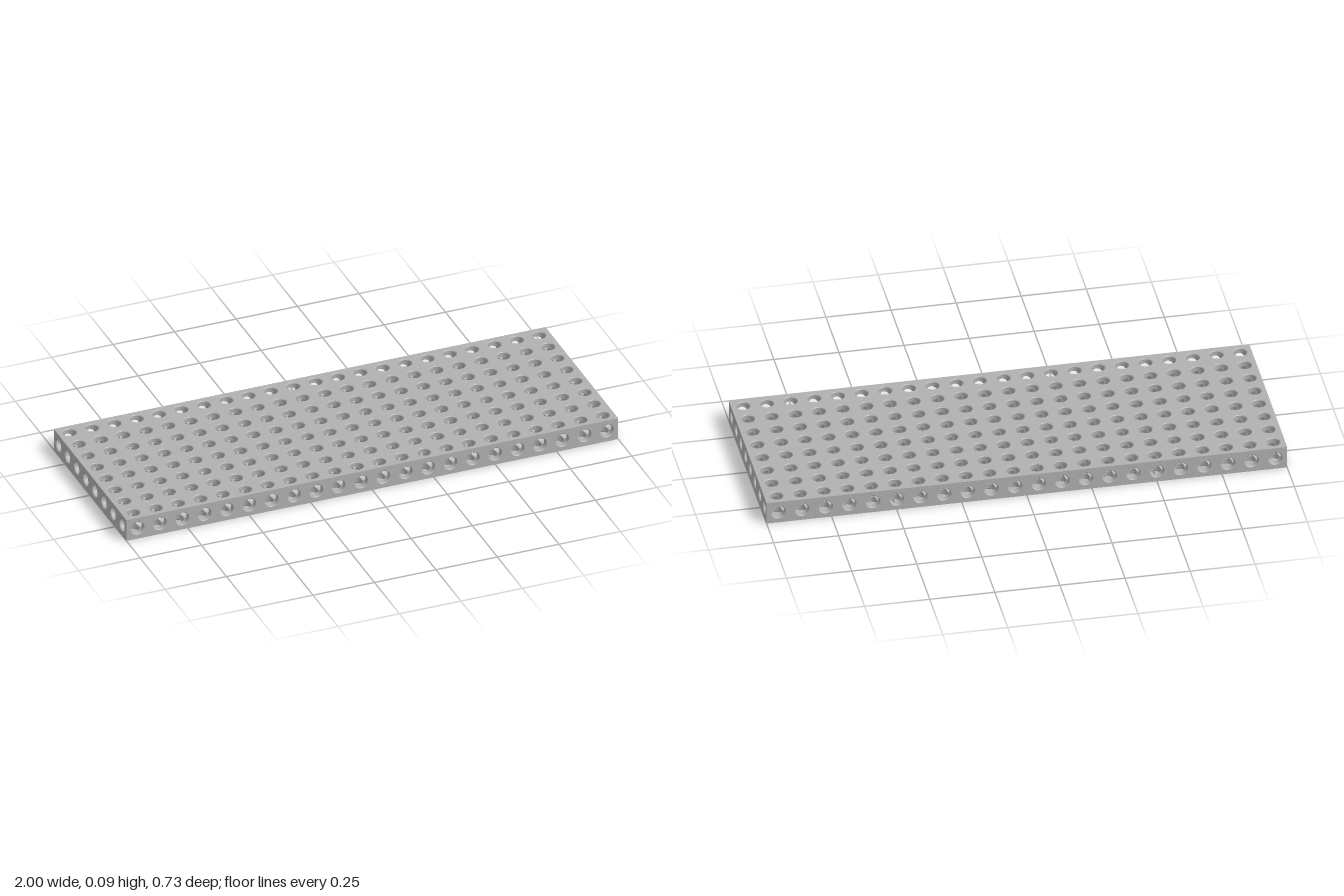
import * as THREE from 'three';
import { mergeGeometries } from 'three/addons/utils/BufferGeometryUtils.js';

const NX = 22, NZ = 8;          // cells along x and z
const U = 2 / NX, H = U / 2;    // cell size and half size
const R = 0.0255;               // bore radius
const MOUTH = 0.0283;           // radius at the chamfered mouth
const CH = MOUTH - R;           // chamfer depth
const SIDES = 32;

const UP = new THREE.Vector3(0, 1, 0);
const DIRS = [[1, 0, 0], [-1, 0, 0], [0, 1, 0], [0, -1, 0], [0, 0, 1], [0, 0, -1]]
  .map((d) => new THREE.Vector3(...d));

// Half a bore, facing inwards, from the outer end to where the three crossing bores meet
function boreArm(outer) {
  const g = new THREE.LatheGeometry([new THREE.Vector2(R, outer), new THREE.Vector2(R, 0)], SIDES);
  const p = g.attributes.position;
  for (let i = 0; i < p.count; i++) {
    if (p.getY(i) === 0) p.setY(i, Math.max(Math.abs(p.getX(i)), Math.abs(p.getZ(i))));
  }
  return g;
}

// Bevelled ring at a hole's mouth
const chamferRing = () => new THREE.LatheGeometry(
  [new THREE.Vector2(MOUTH, H), new THREE.Vector2(R, H - CH)], SIDES);

// Flat rectangle, nx by ny cells, with a round hole in every cell
function perforatedFace(nx, ny) {
  const w = nx * H, h = ny * H;
  const shape = new THREE.Shape([[-w, -h], [w, -h], [w, h], [-w, h]].map((p) => new THREE.Vector2(...p)));
  for (let i = 0; i < nx; i++) {
    for (let j = 0; j < ny; j++) {
      const pts = [];
      for (let k = 0; k < SIDES; k++) {
        const a = -k / SIDES * Math.PI * 2;
        pts.push(new THREE.Vector2(
          -w + (i + 0.5) * U + MOUTH * Math.cos(a),
          -h + (j + 0.5) * U + MOUTH * Math.sin(a)));
      }
      shape.holes.push(new THREE.Path(pts));
    }
  }
  return new THREE.ShapeGeometry(shape);
}

export function createModel() {
  const group = new THREE.Group();
  const grey = new THREE.MeshStandardMaterial({ color: 0xb0b0b0 });
  grey.name = 'grey';
  const add = (geometry, name) => {
    const mesh = new THREE.Mesh(geometry, grey);
    mesh.name = name;
    group.add(mesh);
  };

  // Six perforated outer faces
  const hz = NZ * H;
  add(perforatedFace(NX, NZ).rotateX(-Math.PI / 2).translate(0, U, 0), 'topFace');
  add(perforatedFace(NX, NZ).rotateX(Math.PI / 2), 'bottomFace');
  add(perforatedFace(NX, 1).translate(0, H, hz), 'frontFace');
  add(perforatedFace(NX, 1).rotateY(Math.PI).translate(0, H, -hz), 'backFace');
  add(perforatedFace(NZ, 1).rotateY(Math.PI / 2).translate(1, H, 0), 'leftFace');
  add(perforatedFace(NZ, 1).rotateY(-Math.PI / 2).translate(-1, H, 0), 'rightFace');

  // Crossing bores of every cell, chamfered where they reach the outside
  const bores = [], chamfers = [];
  const innerArm = boreArm(H), outerArm = boreArm(H - CH), ring = chamferRing();
  for (let i = 0; i < NX; i++) {
    for (let j = 0; j < NZ; j++) {
      for (const d of DIRS) {
        const ni = i + d.x, nj = j + d.z;
        const open = d.y !== 0 || ni < 0 || ni >= NX || nj < 0 || nj >= NZ;
        const m = new THREE.Matrix4()
          .makeRotationFromQuaternion(new THREE.Quaternion().setFromUnitVectors(UP, d))
          .setPosition(-1 + (i + 0.5) * U, H, -hz + (j + 0.5) * U);
        bores.push((open ? outerArm : innerArm).clone().applyMatrix4(m));
        if (open) chamfers.push(ring.clone().applyMatrix4(m));
      }
    }
  }
  add(mergeGeometries(bores), 'bores');
  add(mergeGeometries(chamfers), 'holeChamfers');
  return group;
}
